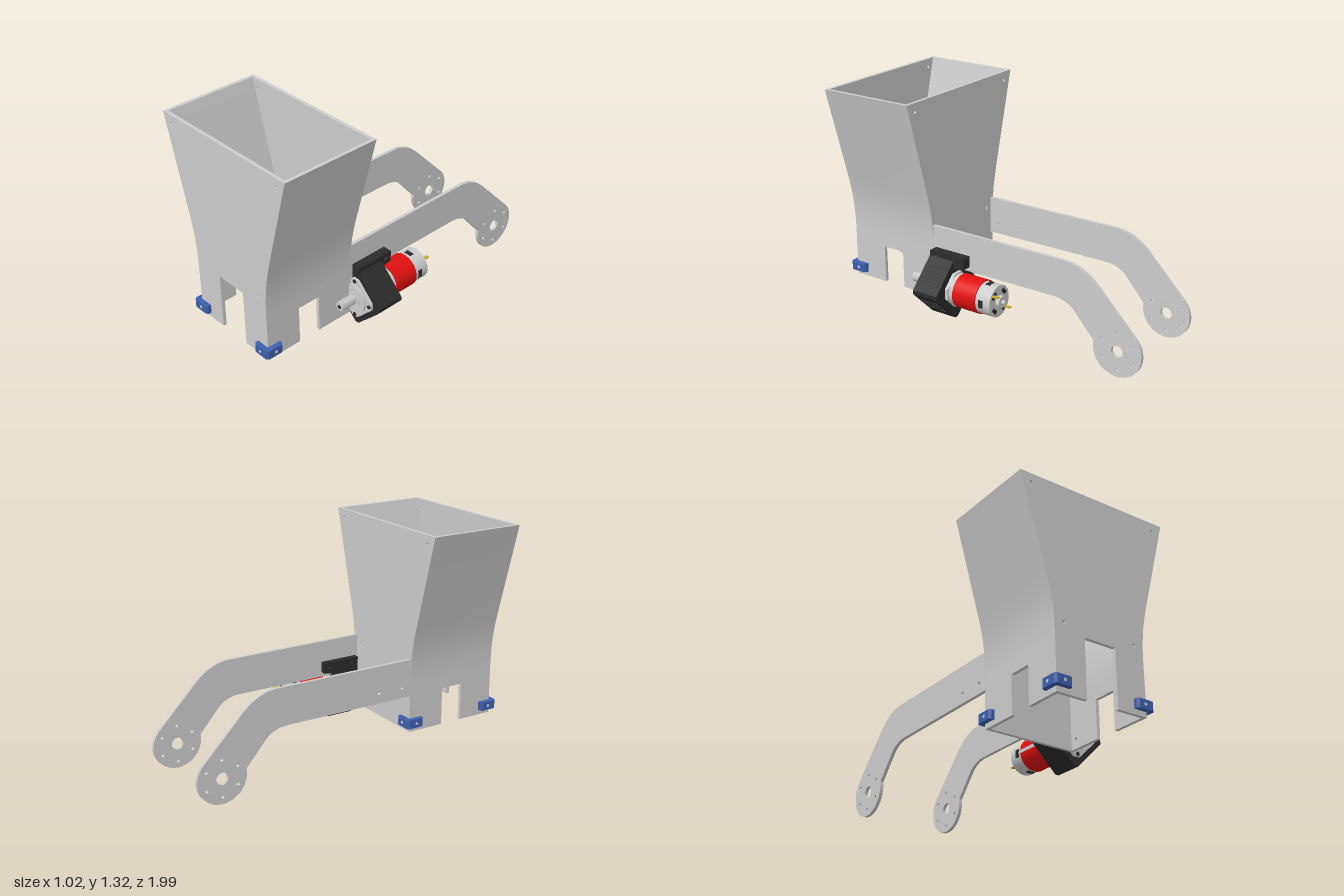
import * as THREE from 'three';
import { toCreasedNormals } from 'three/addons/utils/BufferGeometryUtils.js';

const mat = (color) => new THREE.MeshStandardMaterial({ color, side: THREE.DoubleSide });
const GREY = mat(0xcccccc), BLACK = mat(0x2b2b2b), RED = mat(0xe01010), BLUE = mat(0x3d5fae), BRASS = mat(0xc8b030);

const T = 0.02;                       // sheet thickness
const CX = 0.021;                     // hopper centre line
const Z0 = 0.362, Z1 = 0.948;         // hopper back and front
// half width of the hopper by height
const PROFILE = [[0.284, 0.45], [0.286, 0.52], [0.291, 0.58], [0.299, 0.64], [0.311, 0.7], [0.328, 0.77], [0.477, 1.32]];

function mesh(name, geo, material, parent) {
  const m = new THREE.Mesh(geo, material);
  m.name = name;
  parent.add(m);
  return m;
}
const poly = (pts) => new THREE.Shape(pts.map(([x, y]) => new THREE.Vector2(x, y)));
function hole(shape, x, y, r) {
  shape.holes.push(new THREE.Path().absarc(x, y, r, 0, Math.PI * 2, true));
}
function extrude(shape, depth) {
  return toCreasedNormals(new THREE.ExtrudeGeometry(shape, { depth, bevelEnabled: false, curveSegments: 20 }), 0.5);
}
// cylinder along z from z0 to z1
function rod(r, z0, z1, sides = 40) {
  return new THREE.CylinderGeometry(r, r, z1 - z0, sides).rotateX(Math.PI / 2).translate(0, 0, (z0 + z1) / 2);
}
// square standing on a blunted corner
function diamond(d, cut) {
  const p = [];
  for (const [x, y] of [[1, 0], [0, 1], [-1, 0], [0, -1]]) {
    p.push([x * (d - cut) + y * cut, y * (d - cut) - x * cut], [x * (d - cut) - y * cut, y * (d - cut) + x * cut]);
  }
  return poly(p);
}

// flared front or back sheet, the front one with a doorway
function endPanel(doorway) {
  const right = [[0.284, 0.14], ...PROFILE];
  const pts = [...right, ...right.slice().reverse().map(([x, y]) => [-x, y])];
  if (doorway) pts.push([-0.098, 0.14], [-0.098, 0.475], [0.098, 0.475], [0.098, 0.14]);
  const s = poly(pts);
  for (const side of [-1, 1]) {
    hole(s, side * 0.409, 1.27, 0.009);
    hole(s, side * 0.226, 0.525, 0.009);
  }
  return extrude(s, T);
}

// lower side sheet running back into the cranked arm (shape x is -z)
function sideArm() {
  const s = new THREE.Shape();
  const a = Math.PI / 180;
  for (const [i, [x, y]] of [[-0.928, 0.14], [-0.731, 0.14], [-0.731, 0.363], [-0.592, 0.363], [-0.592, 0.14],
    [-0.382, 0.14], [-0.382, 0.36], [0.44, 0.36]].entries()) i ? s.lineTo(x, y) : s.moveTo(x, y);
  s.quadraticCurveTo(0.52, 0.36, 0.57, 0.315);
  s.lineTo(0.697, 0.17);
  s.absarc(0.84, 0.145, 0.145, 170 * a, 405 * a, false);
  s.lineTo(0.735, 0.46);
  s.quadraticCurveTo(0.63, 0.58, 0.5, 0.58);
  for (const [x, y] of [[-0.362, 0.58], [-0.362, 0.45], [-0.928, 0.45]]) s.lineTo(x, y);
  hole(s, 0.84, 0.145, 0.035);
  for (let i = 0; i < 6; i++) hole(s, 0.84 + 0.106 * Math.cos((30 + 60 * i) * a), 0.145 + 0.106 * Math.sin((30 + 60 * i) * a), 0.009);
  for (const x of [-0.305, -0.15]) hole(s, x, 0.42, 0.009);
  for (const x of [-0.42, -0.89]) hole(s, x, 0.195, 0.009);
  return extrude(s, T).rotateY(Math.PI / 2);
}

// curved upper side sheet
function upperSide(side) {
  const outer = PROFILE.map(([x, y]) => [side * x, y]);
  const inner = PROFILE.map(([x, y]) => [side * (x - T), y]).reverse();
  return extrude(poly([...outer, ...inner]), Z1 - Z0 - 2 * T);
}

// angle bracket wrapped round a bottom corner
function cornerBracket(sx, sz, parent) {
  const g = new THREE.Group();
  g.name = 'cornerBracket';
  const pts = [[0, 0], [-0.08, 0], [-0.08, 0.018], [-0.068, 0.03], [0.018, 0.03], [0.03, 0.018], [0.03, -0.068], [0.018, -0.08], [0, -0.08]];
  mesh('bracketBody', extrude(poly(pts.map(([x, z]) => [sx * x, -sz * z])), 0.052).rotateX(-Math.PI / 2), BLUE, g);
  mesh('bracketScrew', rod(0.009, -0.002, 0.002, 16), GREY, g).position.set(-sx * 0.03, 0.026, sz * 0.03);
  mesh('bracketScrew', rod(0.009, -0.002, 0.002, 16).rotateY(Math.PI / 2), GREY, g).position.set(sx * 0.03, 0.026, -sz * 0.03);
  g.position.set(CX + sx * 0.284, 0.17, sz > 0 ? Z1 : Z0);
  parent.add(g);
}

function driveMotor() {
  const g = new THREE.Group();
  g.name = 'driveMotor';
  g.position.set(0.34, 0.253, 0);

  // clamp block and its two tabs gripping the arm
  mesh('motorMount', extrude(diamond(0.19, 0.012), 0.165).translate(0, 0, 0.182), BLACK, g);
  for (const [x, w] of [[-0.09, 0.036], [-0.035, 0.055]]) {
    const s = poly([[-0.345, 0.1], [-0.11, 0.1], [-0.11, 0.2], [-0.345, 0.2]].map(([a, b]) => [a, a > -0.2 ? Math.max(b, 0.135) : b]));
    hole(s, -0.305, 0.167, 0.012);
    hole(s, -0.15, 0.167, 0.012);
    mesh('mountTab', extrude(s, w).rotateY(Math.PI / 2).translate(x, 0, 0), BLACK, g);
  }
  // raised ribs on the outer faces of the mount
  for (const up of [-1, 1]) for (let i = 0; i < 4; i++) {
    const rib = mesh('mountRib', new THREE.BoxGeometry(0.006, 0.02, 0.13), BLACK, g);
    const t = 0.3 + i * 0.13;
    rib.position.set(0.19 * (1 - t), up * 0.19 * t, 0.265);
    rib.rotation.z = up * Math.PI / 4;
  }

  // gearbox face with screws and output shaft
  mesh('gearboxFlange', extrude(diamond(0.145, 0.02), 0.016).translate(0, 0, 0.346), GREY, g);
  mesh('gearboxDisc', rod(0.085, 0.36, 0.372), GREY, g);
  mesh('gearboxHub', rod(0.045, 0.37, 0.378), GREY, g);
  mesh('hexShaft', rod(0.03, 0.37, 0.477, 6).rotateZ(Math.PI / 6), GREY, g);
  mesh('shaftBore', rod(0.012, 0.476, 0.479, 20), BLACK, g);
  for (let i = 0; i < 4; i++) {
    const a = i * Math.PI / 2;
    mesh('flangeScrew', rod(0.011, 0.36, 0.368, 16), BLACK, g).position.set(Math.cos(a) * 0.112, Math.sin(a) * 0.112, 0);
  }
  mesh('rearFlange', extrude(diamond(0.13, 0.03), 0.02).translate(0, 0, 0.163), GREY, g);

  // motor can with red sleeve, vents and terminals
  mesh('motorCan', rod(0.092, -0.115, 0.18), GREY, g);
  mesh('motorSleeve', rod(0.098, -0.02, 0.135), RED, g);
  mesh('sleeveSeam', new THREE.BoxGeometry(0.012, 0.02, 0.157), GREY, g).position.set(-0.092, 0, 0.0575);
  for (let i = 0; i < 4; i++) {
    const a = i * Math.PI / 2;
    const vent = mesh('ventSlot', new THREE.BoxGeometry(0.006, 0.045, 0.028), BLACK, g);
    vent.position.set(Math.cos(a) * 0.0905, Math.sin(a) * 0.0905, -0.055);
    vent.rotation.z = a;
    const b = a + Math.PI / 4;
    const slot = mesh('rearSlot', new THREE.BoxGeometry(0.022, 0.045, 0.004), BLACK, g);
    slot.position.set(Math.cos(b) * 0.064, Math.sin(b) * 0.064, -0.115);
    slot.rotation.z = b;
  }
  mesh('rearBearing', rod(0.035, -0.138, -0.11), GREY, g);
  mesh('rearShaft', rod(0.012, -0.158, -0.13, 20), GREY, g);
  for (const s of [-1, 1]) mesh('terminal', new THREE.BoxGeometry(0.022, 0.006, 0.04), BRASS, g).position.set(s * 0.055, s * 0.05, -0.133);
  return g;
}

export function createModel() {
  const root = new THREE.Group();
  root.name = 'hopperWithArms';
  const body = new THREE.Group();
  body.name = 'hopperAssembly';
  body.rotation.y = -0.06;
  root.add(body);

  // hopper sheets and arms
  mesh('frontPanel', endPanel(true), GREY, body).position.set(CX, 0, Z1 - T);
  mesh('backPanel', endPanel(false), GREY, body).position.set(CX, 0, Z0);
  for (const side of [-1, 1]) {
    mesh('upperSidePanel', upperSide(side), GREY, body).position.set(CX, 0, Z0 + T);
    mesh('sidePanelArm', sideArm(), GREY, body).position.x = CX + (side > 0 ? 0.284 - T : -0.284);
  }

  for (const [sx, sz] of [[-1, 1], [1, 1], [-1, -1]]) cornerBracket(sx, sz, body);
  body.add(driveMotor());
  return root;
}
